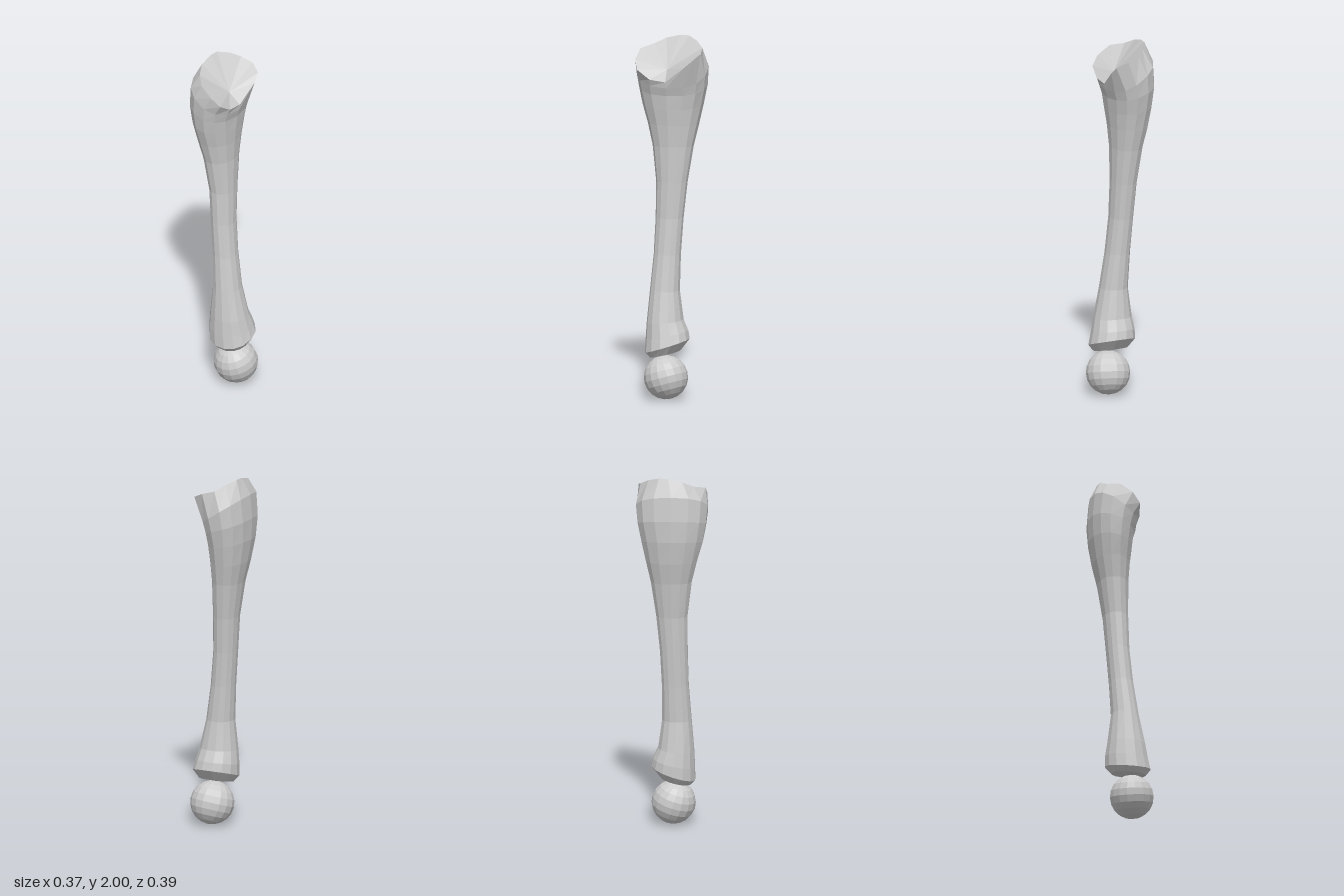
import * as THREE from 'three';

const SIDES = 14;

// Closed flat-shaded skin through rings of points (bottom to top), capped by a centre point at each end.
function loft(rings, bottom, top) {
  const pos = [bottom, ...rings.flat(), top].flat();
  const index = [];
  const last = rings.length * SIDES + 1;
  for (let i = 0; i < SIDES; i++) {
    const j = (i + 1) % SIDES;
    index.push(0, 1 + i, 1 + j);
    for (let r = 0; r < rings.length - 1; r++) {
      const a = 1 + r * SIDES, b = a + SIDES;
      index.push(a + i, b + i, a + j, a + j, b + i, b + j);
    }
    const t = last - SIDES;
    index.push(t + i, last, t + j);
  }
  const geo = new THREE.BufferGeometry();
  geo.setAttribute('position', new THREE.Float32BufferAttribute(pos, 3));
  geo.setIndex(index);
  geo.computeVertexNormals();
  return geo;
}

// Rounded cross-section filling the given x and z extents, tilted along x and z.
function ring([y, x0, x1, z0, z1, tiltX = 0, tiltZ = 0, power = 0.95]) {
  const soft = v => Math.sign(v) * Math.abs(v) ** power;
  return Array.from({ length: SIDES }, (_, i) => {
    const a = (i / SIDES) * Math.PI * 2;
    const c = soft(Math.cos(a)), s = soft(Math.sin(a));
    return [
      (x0 + x1) / 2 + c * (x1 - x0) / 2,
      y - tiltX * c - tiltZ * s,
      (z0 + z1) / 2 + s * (z1 - z0) / 2,
    ];
  });
}

export function createModel() {
  const group = new THREE.Group();
  const material = new THREE.MeshStandardMaterial({ color: 0xcccccc, flatShading: true });
  const add = (name, geometry) => {
    const mesh = new THREE.Mesh(geometry, material);
    mesh.name = name;
    group.add(mesh);
    return mesh;
  };

  // Shaft: y, x extents, z extents, tilts, roundness
  const sections = [
    [0.25, -0.055, 0.135, -0.07, 0.1, 0, 0.02],
    [0.295, -0.09, 0.165, -0.12, 0.125, 0, 0.04],
    [0.355, -0.09, 0.15, -0.11, 0.123, 0, 0.025],
    [0.43, -0.08, 0.133, -0.083, 0.119, 0, 0.01],
    [0.6, -0.06, 0.095, -0.06, 0.105],
    [0.8, -0.07, 0.065, -0.06, 0.09],
    [1.0, -0.085, 0.045, -0.07, 0.085],
    [1.2, -0.1, 0.04, -0.09, 0.085],
    [1.4, -0.13, 0.04, -0.12, 0.11],
    [1.52, -0.158, 0.048, -0.147, 0.14],
    [1.63, -0.18, 0.058, -0.172, 0.172, 0.02],
    [1.73, -0.186, 0.066, -0.193, 0.19, 0.04, 0, 0.88],
    [1.82, -0.175, 0.08, -0.203, 0.2, 0.085, 0, 0.88],
  ].map(ring);

  // Irregular rim of the sloping socket at the upper end
  const rim = [
    [0.085, 1.77, 0], [0.085, 1.78, 0.09], [0.075, 1.83, 0.165], [0.03, 1.88, 0.19],
    [-0.04, 1.93, 0.182], [-0.1, 1.95, 0.12], [-0.13, 1.98, 0.06], [-0.13, 2, -0.02],
    [-0.125, 2, -0.07], [-0.085, 1.98, -0.13], [-0.04, 1.95, -0.175], [0.03, 1.93, -0.188],
    [0.09, 1.9, -0.16], [0.1, 1.86, -0.115],
  ];
  add('boneShaft', loft([...sections, rim], [0.04, 0.24, 0.02], [0.02, 1.83, 0.01]));

  // Joint ball under the lower end
  const ball = add('jointBall', new THREE.SphereGeometry(0.122, 16, 10));
  ball.position.set(0.06, 0.122, 0.003);
  ball.rotation.set(0.3, 0, 0.1);

  return group;
}
